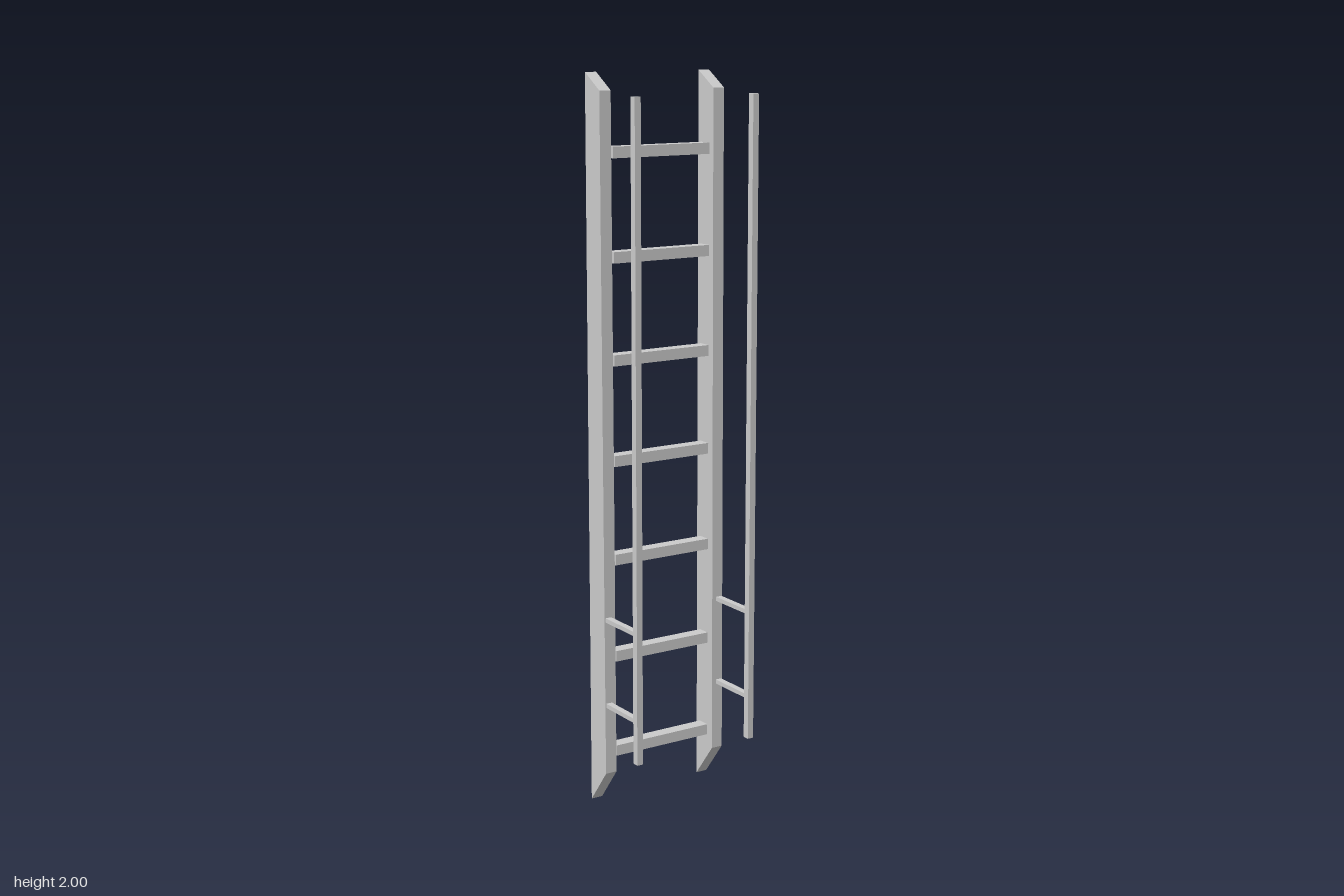
import * as THREE from 'three';

const material = new THREE.MeshStandardMaterial({ color: 0xcccccc, flatShading: true });

// Local frame: x runs along the rungs, z points toward the handrails.
function addBox(parent, name, size, position) {
  const mesh = new THREE.Mesh(new THREE.BoxGeometry(...size), material);
  mesh.name = name;
  mesh.position.set(...position);
  parent.add(mesh);
  return mesh;
}

// Side board with slanted cuts at both ends, extruded across its thickness.
function stringerGeometry(thickness) {
  const shape = new THREE.Shape([
    [0.118, 0], [0.118, 2], [0.047, 1.955], [0.04, 0.1],
  ].map(([x, y]) => new THREE.Vector2(x, y)));
  const geometry = new THREE.ExtrudeGeometry(shape, { depth: thickness, bevelEnabled: false });
  geometry.translate(0, 0, -thickness / 2);
  geometry.rotateY(Math.PI / 2); // shape x becomes -z, so the board sits at the back
  return geometry;
}

export function createModel() {
  const model = new THREE.Group();
  model.name = 'ladder';
  const ladder = new THREE.Group();
  ladder.name = 'ladderFrame';
  ladder.rotation.y = Math.PI / 3; // turned 60 degrees about the vertical
  model.add(ladder);

  const board = stringerGeometry(0.034);
  for (const [side, s] of [['left', 1], ['right', -1]]) {
    const stringer = new THREE.Mesh(board, material);
    stringer.name = side + 'Stringer';
    stringer.position.x = s * 0.177;
    ladder.add(stringer);

    // Handrail held by two short brackets near the bottom
    const rail = new THREE.Group();
    rail.name = side + 'Handrail';
    ladder.add(rail);
    addBox(rail, 'railBar', [0.018, 1.77, 0.02], [s * 0.182, 1.06, 0.107]);
    for (const y of [0.297, 0.541]) {
      addBox(rail, 'railBracket', [0.018, 0.012, 0.14], [s * 0.182, y, 0.028]);
    }
  }

  // Evenly spaced rungs
  for (let i = 0; i < 7; i++) {
    addBox(ladder, 'rung' + (i + 1), [0.302, 0.03, 0.037], [0, 0.155 + i * 0.2735, -0.07]);
  }
  return model;
}
